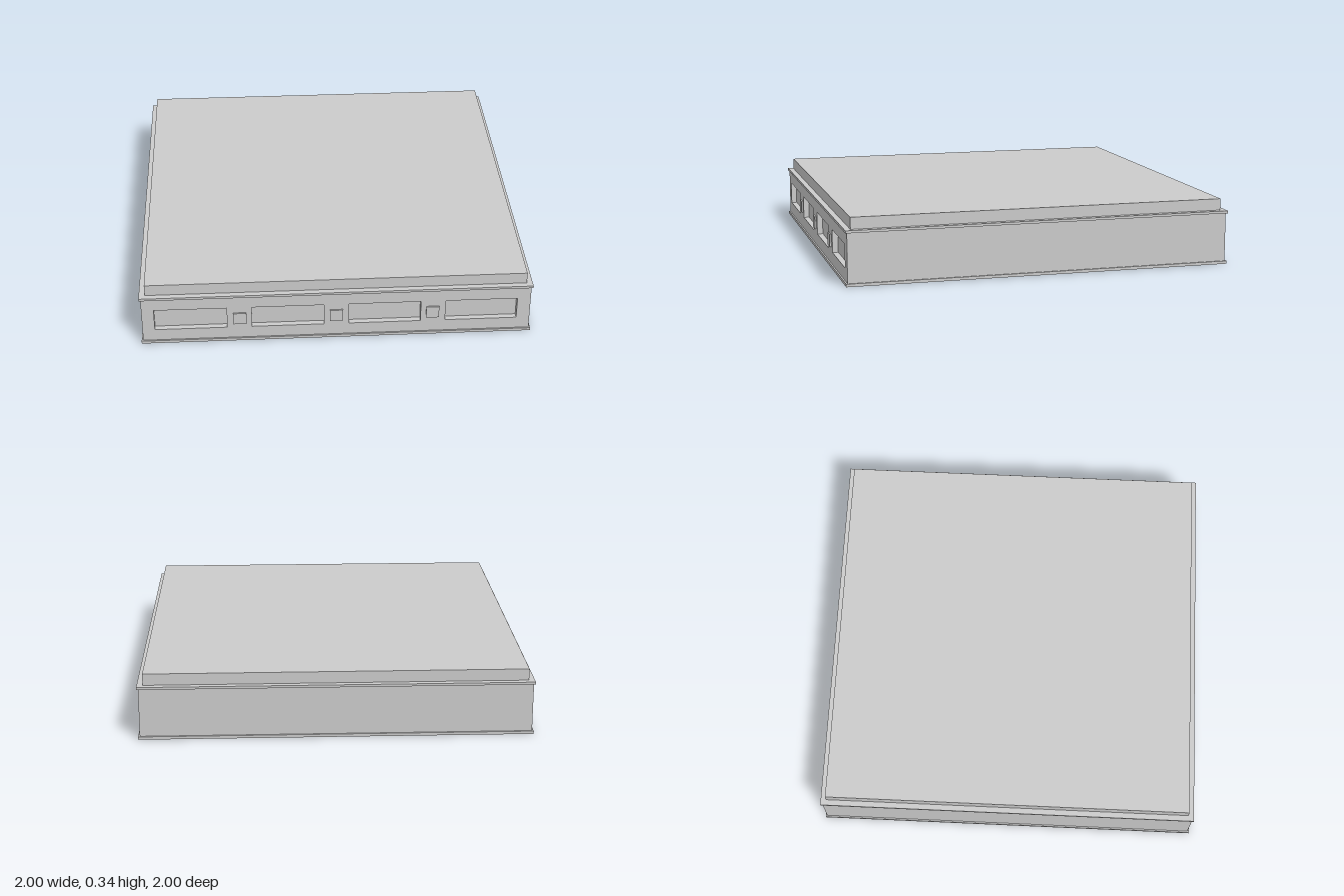
import * as THREE from 'three';

const WINDOWS = [-0.745, -0.25, 0.245, 0.74];
const BUTTONS = [-0.495, -0.003, 0.49];
const HALF = 0.992; // half width of the body
const RECESS = 0.03; // depth of the front windows

export function createModel() {
  const group = new THREE.Group();
  const material = new THREE.MeshStandardMaterial({ color: 0xcccccc });

  const add = (name, geometry, x, y, z) => {
    const mesh = new THREE.Mesh(geometry, material);
    mesh.name = name;
    mesh.position.set(x, y, z);
    group.add(mesh);
  };
  // Box between two heights
  const slab = (name, width, y0, y1, depth, z = 0) =>
    add(name, new THREE.BoxGeometry(width, y1 - y0, depth), 0, (y0 + y1) / 2, z);

  // Stacked slabs: base trim, body, upper trim, raised top
  slab('baseTrim', 2, 0, 0.015, 2);
  slab('body', HALF * 2, 0.015, 0.267, HALF * 2 - RECESS, -RECESS / 2);
  slab('upperTrim', 2, 0.267, 0.28, 2);
  slab('topSlab', 1.94, 0.28, 0.34, 1.94);

  // Front panel with four rectangular recesses
  const rect = (path, x0, y0, x1, y1) =>
    path.moveTo(x0, y0).lineTo(x1, y0).lineTo(x1, y1).lineTo(x0, y1).closePath();
  const panel = new THREE.Shape();
  rect(panel, -HALF, 0.015, HALF, 0.267);
  for (const x of WINDOWS) {
    const hole = new THREE.Path();
    rect(hole, x - 0.184, 0.08, x + 0.184, 0.2);
    panel.holes.push(hole);
  }
  add('frontPanel', new THREE.ExtrudeGeometry(panel, { depth: RECESS, bevelEnabled: false }),
    0, 0, HALF - RECESS);

  // Small square buttons between the recesses
  for (const x of BUTTONS) {
    add('button', new THREE.BoxGeometry(0.066, 0.066, 0.02), x, 0.136, 0.99);
  }

  return group;
}
